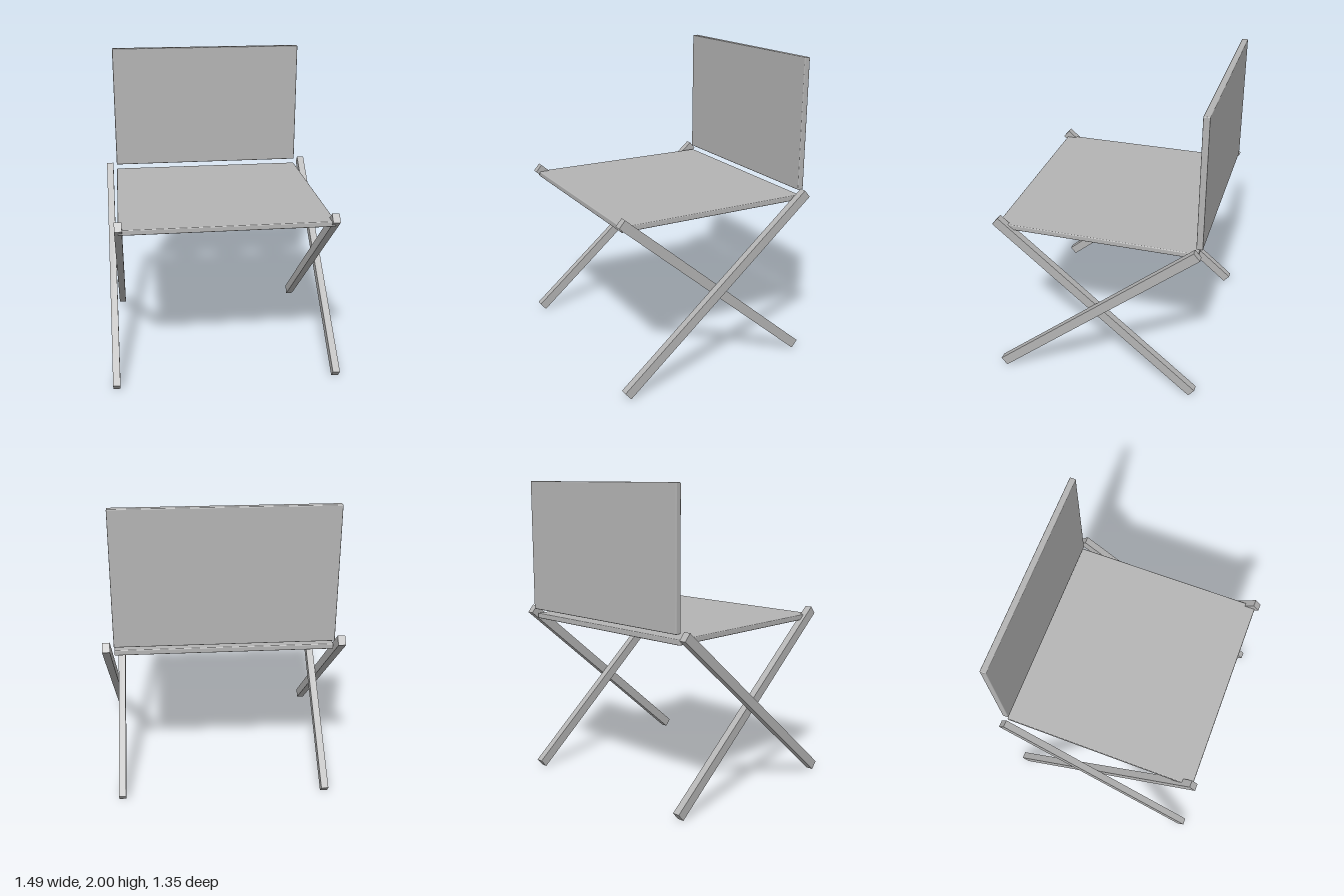
import * as THREE from 'three';
import { RoundedBoxGeometry } from 'three/addons/geometries/RoundedBoxGeometry.js';

export function createModel() {
  const chair = new THREE.Group();
  chair.name = 'foldingChair';
  const grey = new THREE.MeshStandardMaterial({ name: 'grey', color: 0xb4b4b4 });

  const add = (name, geometry, x, y, z, tilt = 0) => {
    const mesh = new THREE.Mesh(geometry, grey);
    mesh.name = name;
    mesh.position.set(x, y, z);
    mesh.rotation.x = tilt;
    chair.add(mesh);
  };

  // Seat and backrest panels with slightly softened edges
  add('seat', new RoundedBoxGeometry(1.35, 0.035, 1.295, 2, 0.006), 0, 1.088, 0);
  add('backrest', new RoundedBoxGeometry(1.35, 0.862, 0.04, 2, 0.006), 0, 1.569, -0.655);

  // Crossed legs: the outer bar rises to the back, the inner bar to the front
  const angle = THREE.MathUtils.degToRad(40.2);
  const bar = new THREE.BoxGeometry(0.047, 0.062, 1.715);
  for (const [side, label] of [[1, 'left'], [-1, 'right']]) {
    add(`${label}OuterLeg`, bar, side * 0.7235, 0.577, 0, angle);
    add(`${label}InnerLeg`, bar, side * 0.6735, 0.577, 0, -angle);
  }
  return chair;
}
